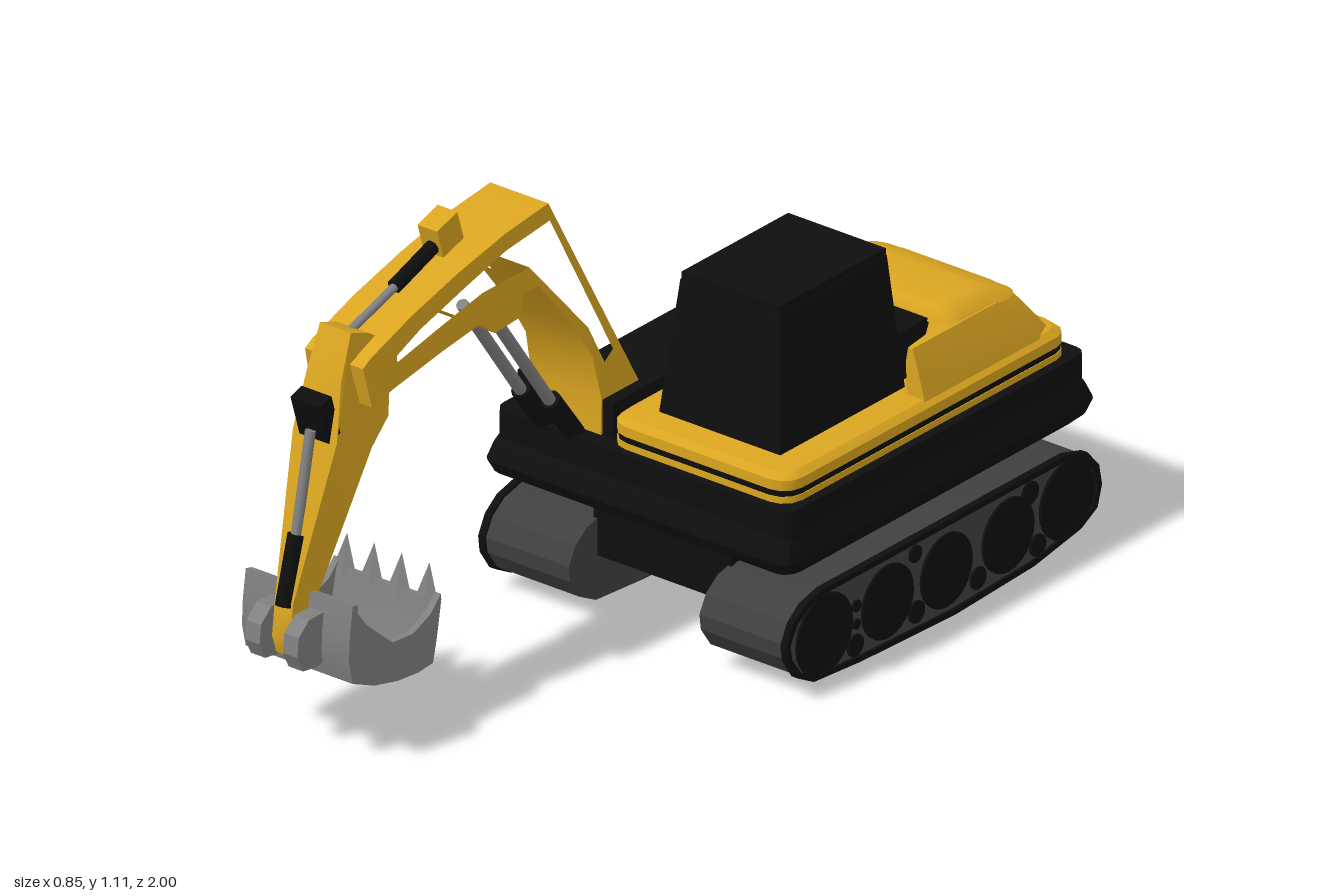
import * as THREE from 'three';
import { toCreasedNormals } from 'three/addons/utils/BufferGeometryUtils.js';

const material = (name, color) => {
  const m = new THREE.MeshStandardMaterial({ color });
  m.name = name;
  return m;
};

export function createModel() {
  const yellow = material('yellow paint', 0xdaa520);
  const black = material('black', 0x0e0e0e);
  const steel = material('grey steel', 0x808080);
  const rubber = material('dark grey track', 0x404040);
  const model = new THREE.Group();
  model.name = 'excavator';

  const add = (name, geo, mat, parent = model) => {
    const mesh = new THREE.Mesh(geo, mat);
    mesh.name = name;
    parent.add(mesh);
    return mesh;
  };
  const box = (name, x0, x1, y0, y1, z0, z1, mat, parent) => {
    const g = new THREE.BoxGeometry(x1 - x0, y1 - y0, z1 - z0);
    g.translate((x0 + x1) / 2, (y0 + y1) / 2, (z0 + z1) / 2);
    return add(name, g, mat, parent);
  };
  // Side profile of [z, y] points, extruded from x0 to x1
  const sideSolid = (points, x0, x1, hole, crease = 0.5) => {
    const v = (p) => new THREE.Vector2(p[0], p[1]);
    const shape = new THREE.Shape(points.map(v));
    if (hole) shape.holes.push(new THREE.Path(hole.map(v)));
    const g = new THREE.ExtrudeGeometry(shape, { depth: x1 - x0, bevelEnabled: false });
    g.rotateY(-Math.PI / 2).translate(x1, 0, 0);
    return toCreasedNormals(g, crease);
  };
  // Set the half width of a side solid as a function of height
  const widen = (g, centre, half) => {
    const p = g.attributes.position;
    for (let i = 0; i < p.count; i++) {
      p.setX(i, centre + Math.sign(p.getX(i) - centre) * half(p.getY(i)));
    }
    return toCreasedNormals(g, 0.5);
  };
  // Stack of plan outlines: [y, [[x, z], ...]], capped at both ends
  const loft = (rings, crease = 0.6) => {
    const flat = rings[0][1].map(([x, z]) => new THREE.Vector2(x, -z));
    if (THREE.ShapeUtils.isClockWise(flat)) {
      flat.reverse();
      rings = rings.map(([y, o]) => [y, [...o].reverse()]);
    }
    const n = flat.length, pos = [];
    const put = (k, i) => pos.push(rings[k][1][i][0], rings[k][0], rings[k][1][i][1]);
    for (let k = 0; k < rings.length - 1; k++) {
      for (let i = 0; i < n; i++) {
        const j = (i + 1) % n;
        put(k, i); put(k, j); put(k + 1, j);
        put(k, i); put(k + 1, j); put(k + 1, i);
      }
    }
    for (const [a, b, c] of THREE.ShapeUtils.triangulateShape(flat, [])) {
      put(0, a); put(0, c); put(0, b);
      const t = rings.length - 1;
      put(t, a); put(t, b); put(t, c);
    }
    const g = new THREE.BufferGeometry();
    g.setAttribute('position', new THREE.Float32BufferAttribute(pos, 3));
    return toCreasedNormals(g, crease);
  };
  const rounded = (x0, x1, z0, z1, r) => {
    const out = [];
    [[x1 - r, z1 - r], [x0 + r, z1 - r], [x0 + r, z0 + r], [x1 - r, z0 + r]].forEach(([x, z], q) => {
      for (let i = 0; i <= 3; i++) {
        const a = (q + i / 3) * Math.PI / 2;
        out.push([x + r * Math.cos(a), z + r * Math.sin(a)]);
      }
    });
    return out;
  };
  // Round bar between two points
  const bar = (name, a, b, r, mat, parent) => {
    const A = new THREE.Vector3(...a), B = new THREE.Vector3(...b);
    const m = add(name, new THREE.CylinderGeometry(r, r, A.distanceTo(B), 12), mat, parent);
    m.position.copy(A).add(B).multiplyScalar(0.5);
    m.quaternion.setFromUnitVectors(new THREE.Vector3(0, 1, 0), B.sub(A).normalize());
  };

  // Tracks
  const trackShape = [[-0.05, 0.235], [-0.88, 0.235], [-0.95, 0.215], [-0.99, 0.17], [-1, 0.12], [-0.985, 0.07],
    [-0.93, 0.04], [-0.77, 0.012], [-0.5, 0], [-0.18, 0.012], [-0.02, 0.025], [0.035, 0.055], [0.068, 0.105],
    [0.073, 0.145], [0.05, 0.19], [0.01, 0.22]];
  const inset = (s) => trackShape.map(([z, y]) => [-0.463 + (z + 0.463) * (1 - s / 0.53), 0.118 + (y - 0.118) * (1 - s / 0.118)]);
  for (const side of [-1, 1]) {
    const track = new THREE.Group();
    track.name = side > 0 ? 'leftTrack' : 'rightTrack';
    model.add(track);
    const span = (a, b) => (side > 0 ? [a, b] : [-b, -a]);
    add('trackBelt', sideSolid(inset(0.006), ...span(0.18, 0.418), null, 0.3), rubber, track);
    add('trackRim', sideSolid(trackShape, ...span(0.408, 0.425), inset(0.014)), black, track);
    const wheel = (name, z, y, r) => {
      const g = new THREE.CylinderGeometry(r, r, 0.02, 24);
      g.rotateZ(Math.PI / 2).translate(side * 0.414, y, z);
      add(name, g, black, track);
    };
    [[-0.06, 0.123, 0.095], [-0.275, 0.118, 0.087], [-0.475, 0.115, 0.087], [-0.685, 0.118, 0.087], [-0.885, 0.126, 0.092]]
      .forEach((w) => wheel('roadWheel', ...w));
    [-0.166, -0.374, -0.583, -0.786].forEach((z) => wheel('smallRoller', z, 0.055, 0.026));
    [[-0.76, 0.19, 0.027], [-0.17, 0.148, 0.014], [-0.17, 0.105, 0.012], [-0.37, 0.195, 0.02]]
      .forEach((w) => wheel('topRoller', ...w));
  }
  box('undercarriage', -0.19, 0.19, 0.135, 0.29, -0.88, -0.03, black);

  // Black turntable deck with a bulging bumper belt
  const deck = (y, hx, z0, z1, r = 0.03) => [y, rounded(-hx, hx, z0, z1, r)];
  add('deck', loft([deck(0.283, 0.395, -0.95, 0.02), deck(0.3, 0.412, -0.98, 0.055), deck(0.33, 0.42, -0.995, 0.07),
    deck(0.365, 0.412, -0.98, 0.055), deck(0.378, 0.408, -0.972, 0.042), deck(0.444, 0.408, -0.972, 0.04)], 0.4), black);

  // Yellow platform with a black stripe
  const slab = (y, d) => [y, rounded(-0.112 + d, 0.385 - d, -0.945 + d, 0.02 - d, 0.05)];
  add('platformBase', loft([slab(0.44, 0), slab(0.459, 0)]), yellow);
  add('platformStripe', loft([slab(0.459, 0.002), slab(0.474, 0.002)]), black);
  add('platformTop', loft([slab(0.474, 0), slab(0.498, 0), slab(0.512, 0.015)]), yellow);

  // Engine hood wrapping round the rear of the cab
  const hood = (y, x0, x1, zBack, t, zIn) => [y, [[x0, -0.46], [x0 + t, -0.46], [x0 + t + 0.02, zIn],
    [x1 - t - 0.02, zIn], [x1 - t, -0.46], [x1, -0.46], [x1, zBack + 0.08], [x1 - 0.025, zBack + 0.025],
    [x1 - 0.08, zBack], [x0 + 0.08, zBack], [x0 + 0.025, zBack + 0.025], [x0, zBack + 0.08]]];
  add('engineHood', loft([hood(0.505, -0.1, 0.375, -0.935, 0.05, -0.55), hood(0.59, -0.075, 0.352, -0.87, 0.03, -0.585),
    hood(0.625, -0.063, 0.34, -0.825, 0.012, -0.6)], 0.7), yellow);
  add('hoodTop', loft([[0.62, rounded(-0.063, 0.34, -0.83, -0.59, 0.04)], [0.643, rounded(-0.045, 0.322, -0.79, -0.595, 0.04)],
    [0.655, rounded(-0.02, 0.295, -0.75, -0.605, 0.04)]], 0.9), yellow);

  // Cab
  const cabRing = (y, x0, x1, z0, z1) => [y, [[x0, z0], [x1, z0], [x1, z1], [x0, z1]]];
  add('cab', loft([cabRing(0.505, -0.035, 0.3, -0.485, -0.06), cabRing(0.825, -0.006, 0.267, -0.463, -0.098)]), black);
  box('cabRoof', -0.004, 0.265, 0.82, 0.842, -0.462, -0.1, black);
  box('cabRearHousing', -0.005, 0.275, 0.505, 0.628, -0.6, -0.47, black);

  // Boom foot brackets
  box('boomBracketRight', -0.375, -0.343, 0.43, 0.53, -0.2, 0.0, black);
  box('boomBracketLeft', -0.142, -0.112, 0.43, 0.53, -0.2, 0.0, black);

  // Boom with its long opening
  const arm = new THREE.Group();
  arm.name = 'diggingArm';
  model.add(arm);
  const armX = -0.245;
  const boom = sideSolid(
    [[-0.19, 0.42], [0.155, 1.053], [0.3, 1.037], [0.46, 1.005], [0.62, 0.963], [0.76, 0.915], [0.785, 0.9], [0.76, 0.8],
      [0.69, 0.815], [0.52, 0.84], [0.39, 0.855], [0.34, 0.815], [0.26, 0.82], [0.24, 0.87], [0.19, 0.87],
      [0.085, 0.74], [0.02, 0.64], [-0.005, 0.53], [0, 0.42]],
    -0.325, -0.165,
    [[0.15, 1.01], [0.3, 0.995], [0.43, 0.963], [0.59, 0.92], [0.67, 0.888], [0.67, 0.872], [0.52, 0.9], [0.38, 0.925],
      [0.22, 0.925], [0.14, 0.835], [0.03, 0.71], [-0.02, 0.61], [-0.05, 0.63]]);
  add('boom', widen(boom, armX, (y) => 0.08 + 0.018 * THREE.MathUtils.clamp((0.9 - y) / 0.4, 0, 1)), yellow, arm);

  // Stick, widest below the boom joint
  const stick = sideSolid([[0.78, 0.973], [0.72, 0.95], [0.645, 0.9], [0.675, 0.74], [0.73, 0.685], [0.86, 0.417], [0.893, 0.353],
    [0.92, 0.255], [0.95, 0.255], [0.965, 0.3], [0.955, 0.385], [0.85, 0.74], [0.82, 0.87]], -0.3, -0.19);
  add('stick', widen(stick, armX, (y) => y > 0.71
    ? 0.0425 + 0.02 * THREE.MathUtils.clamp((0.92 - y) / 0.2, 0, 1)
    : Math.max(0.025, 0.0625 - (0.71 - y) * 0.115)), yellow, arm);

  // Hydraulic cylinders
  for (const x of [-0.285, -0.205]) {
    bar('boomCylinderRod', [x, 0.83, 0.3], [x, 0.54, 0.095], 0.014, steel, arm);
    bar('boomCylinder', [x, 0.55, 0.1], [x, 0.43, 0.01], 0.023, black, arm);
  }
  const mount = box('stickCylinderMount', -0.027, 0.027, -0.037, 0.037, -0.036, 0.036, yellow, arm);
  mount.position.set(-0.247, 1.063, 0.42);
  mount.rotation.x = 0.3;
  bar('stickCylinder', [armX, 1.045, 0.43], [armX, 0.993, 0.58], 0.017, black, arm);
  bar('stickCylinderRod', [armX, 0.995, 0.57], [armX, 0.943, 0.74], 0.01, steel, arm);
  const plate = box('bucketCylinderMount', -0.041, 0.041, -0.052, 0.052, -0.02, 0.02, black, arm);
  plate.position.set(armX, 0.79, 0.848);
  plate.rotation.x = 0.3;
  bar('bucketCylinderRod', [armX, 0.76, 0.865], [armX, 0.52, 0.915], 0.012, steel, arm);
  bar('bucketCylinder', [armX, 0.53, 0.912], [armX, 0.375, 0.955], 0.02, black, arm);

  // Bucket: curved shell, two cheeks, teeth and hinge ears
  const bucket = new THREE.Group();
  bucket.name = 'bucket';
  arm.add(bucket);
  const outer = [[0.905, 0.4], [0.915, 0.33], [0.918, 0.27], [0.905, 0.215], [0.83, 0.182], [0.75, 0.163], [0.68, 0.156],
    [0.632, 0.16], [0.62, 0.21], [0.604, 0.3]];
  const inner = [[0.616, 0.3], [0.634, 0.215], [0.645, 0.176], [0.68, 0.171], [0.745, 0.179], [0.825, 0.198], [0.888, 0.227],
    [0.9, 0.27], [0.895, 0.33], [0.885, 0.395]];
  add('bucketShell', sideSolid([...outer, ...inner], -0.39, -0.097, null, 0.8), steel, bucket);
  const rim = [[0.605, 0.315], [0.64, 0.28], [0.7, 0.256], [0.77, 0.262], [0.82, 0.305], [0.86, 0.34]];
  for (const x of [-0.391, -0.112]) {
    add('bucketCheek', sideSolid([...outer, ...rim], x, x + 0.016), steel, bucket);
  }
  for (const x of [-0.358, -0.283, -0.207, -0.131]) {
    const g = new THREE.ConeGeometry(0.036, 0.1, 4).toNonIndexed();
    g.scale(1, 1, 0.35).rotateX(-0.1).translate(x, 0.328, 0.606);
    g.computeVertexNormals();
    add('bucketTooth', g, steel, bucket);
  }
  const ear = [[0.9, 0.365], [0.96, 0.365], [0.995, 0.335], [1, 0.29], [0.98, 0.25], [0.93, 0.243], [0.9, 0.25]];
  for (const x of [-0.316, -0.212]) {
    add('bucketEar', sideSolid(ear, x, x + 0.04), steel, bucket);
  }
  return model;
}
